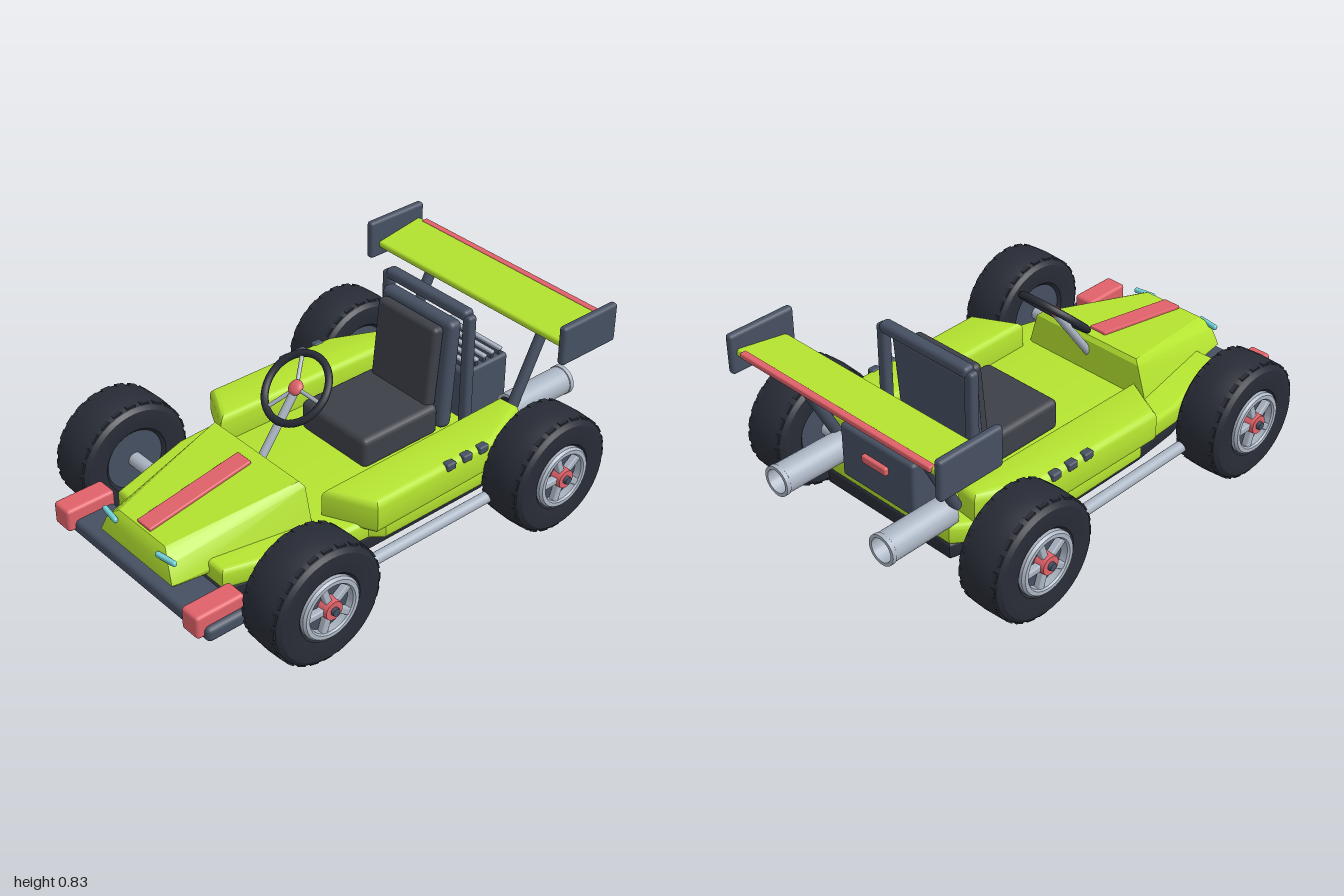
import * as THREE from 'three';
import { toCreasedNormals } from 'three/addons/utils/BufferGeometryUtils.js';
import { RoundedBoxGeometry } from 'three/addons/geometries/RoundedBoxGeometry.js';
import { ConvexGeometry } from 'three/addons/geometries/ConvexGeometry.js';

const mat = (color) => new THREE.MeshStandardMaterial({ color });
const GREEN = mat(0xb4e330), SLATE = mat(0x465062), DARK = mat(0x282c36), STEEL = mat(0xabb5c3);
const RED = mat(0xe0626a), CYAN = mat(0x72d2d8), SEAT = mat(0x3d4048);
const V = (x, y, z) => new THREE.Vector3(x, y, z);

export function createModel() {
  const kart = new THREE.Group();
  kart.name = 'kart';

  const add = (name, geo, material, pos = [0, 0, 0], parent = kart) => {
    const m = new THREE.Mesh(geo, material);
    m.name = name;
    m.position.set(...pos);
    parent.add(m);
    return m;
  };
  // rounded box given by its min and max corners
  const box = (name, material, a, b, r = 0.01, parent = kart) => {
    const s = a.map((v, i) => Math.abs(b[i] - v));
    const geo = new RoundedBoxGeometry(...s, 2, Math.min(r, Math.min(...s) * 0.45));
    return add(name, geo, material, a.map((v, i) => (v + b[i]) / 2), parent);
  };
  // straight rod between two points
  const rod = (name, material, a, b, r, parent = kart) => {
    const p = V(...a), q = V(...b), d = q.clone().sub(p);
    const m = add(name, new THREE.CylinderGeometry(r, r, d.length(), 20), material, [0, 0, 0], parent);
    m.position.copy(p).add(q).multiplyScalar(0.5);
    m.quaternion.setFromUnitVectors(V(0, 1, 0), d.normalize());
    return m;
  };
  // plan outline of [x, z] points raised from y0 to y1 with a bevelled edge
  const slab = (name, material, pts, y0, y1, bevel) => {
    const shape = new THREE.Shape(pts.map(([x, z]) => new THREE.Vector2(x, -z)));
    const geo = new THREE.ExtrudeGeometry(shape, {
      depth: y1 - y0 - 2 * bevel, bevelThickness: bevel, bevelSize: bevel, bevelOffset: -bevel, bevelSegments: 3,
    });
    geo.rotateX(-Math.PI / 2);
    return add(name, toCreasedNormals(geo, 0.6), material, [0, y0 + bevel, 0]);
  };
  const mirrored = (half) => [...half, ...half.map(([x, z]) => [-x, z]).reverse()];

  // floor and body
  slab('floorPan', DARK, mirrored([[0.31, 0.8], [0.41, 0.42], [0.43, 0.2], [0.43, -0.4], [0.33, -0.72]]), 0.145, 0.22, 0.015);
  slab('bodyBase', GREEN, mirrored([[0.32, 0.79], [0.43, 0.42], [0.44, 0.2], [0.48, 0.15], [0.48, -0.42], [0.39, -0.64], [0.33, -0.72]]), 0.21, 0.3, 0.02);
  for (const s of [1, -1]) {
    const side = s > 0 ? 'left' : 'right';
    slab(side + 'SidePod', GREEN, [[0.5, 0.21], [0.3, 0.31], [0.285, -0.63], [0.38, -0.64], [0.49, -0.4]].map(([x, z]) => [s * x, z]), 0.27, 0.415, 0.03);
    for (const z of [-0.165, -0.25, -0.335])
      box(side + 'PodVent', SLATE, [s * 0.465, 0.385, z - 0.023], [s * 0.5, 0.418, z + 0.023], 0.008);
    rod(side + 'SideRail', STEEL, [s * 0.51, 0.178, -0.55], [s * 0.51, 0.178, 0.55], 0.024);
  }

  // nose wedge with stripe and lights
  const nose = [];
  for (const s of [1, -1])
    nose.push(V(s * 0.3, 0.24, 0.36), V(s * 0.31, 0.3, 0.365), V(s * 0.27, 0.44, 0.362), V(s * 0.25, 0.458, 0.375),
      V(s * 0.14, 0.365, 0.905), V(s * 0.16, 0.352, 0.915), V(s * 0.19, 0.32, 0.93), V(s * 0.22, 0.25, 0.94), V(s * 0.21, 0.235, 0.93));
  add('nose', toCreasedNormals(new ConvexGeometry(nose), 0.3), GREEN);
  const stripe = box('noseStripe', RED, [-0.04, 0.402, 0.425], [0.04, 0.42, 0.9], 0.005);
  stripe.rotation.x = 0.174;
  for (const s of [1, -1]) {
    const lamp = box('headlight', CYAN, [s * 0.122, 0.327, 0.915], [s * 0.222, 0.349, 0.935], 0.008);
    lamp.rotation.y = s * 0.15;
  }

  // front bumper
  box('frontBumper', SLATE, [-0.47, 0.16, 0.79], [0.47, 0.222, 0.97], 0.02);
  for (const s of [1, -1]) box('bumperBlock', RED, [s * 0.35, 0.178, 0.785], [s * 0.445, 0.276, 1], 0.014);

  // seat and roll hoop
  box('seatCushion', SEAT, [-0.19, 0.29, -0.39], [0.19, 0.425, 0], 0.025);
  const pad = box('seatBackPad', SEAT, [-0.165, 0.4, -0.415], [0.165, 0.757, -0.36], 0.02);
  pad.rotation.x = -0.1;
  const shell = box('seatBackShell', SLATE, [-0.2, 0.3, -0.475], [0.2, 0.778, -0.41], 0.025);
  shell.rotation.x = -0.08;
  for (const s of [1, -1]) box('hoopPost', SLATE, [s * 0.205, 0.3, -0.518], [s * 0.25, 0.81, -0.475], 0.014);
  box('hoopBar', SLATE, [-0.228, 0.78, -0.525], [0.228, 0.828, -0.472], 0.018);

  // engine with cooling fins
  box('engine', SLATE, [-0.195, 0.28, -0.76], [0.195, 0.515, -0.52], 0.015);
  for (let i = 0; i < 5; i++) {
    const z = -0.555 - i * 0.043;
    box('coolingFin', SLATE, [-0.18, 0.5, z - 0.008], [0.18, 0.54, z + 0.008], 0.003);
    box('finCap', STEEL, [-0.185, 0.535, z - 0.01], [0.185, 0.548, z + 0.01], 0.004);
  }
  box('tailLight', RED, [-0.065, 0.41, -0.777], [0.065, 0.445, -0.755], 0.008);

  // exhausts: open pipes with a rolled lip
  const pipe = [[0.045, 0], [0.06, 0], [0.06, 0.3], [0.063, 0.302], [0.063, 0.32], [0.049, 0.32], [0.049, 0.2]];
  const pipeGeo = toCreasedNormals(new THREE.LatheGeometry(pipe.map(([r, y]) => new THREE.Vector2(r, y)), 28).rotateX(-Math.PI / 2), 0.6);
  for (const s of [1, -1]) {
    add('exhaustPipe', pipeGeo, STEEL, [s * 0.283, 0.33, -0.68]);
    rod('exhaustCore', DARK, [s * 0.283, 0.33, -0.69], [s * 0.283, 0.33, -0.9], 0.048);
  }

  // rear wing
  const wing = box('wingBlade', GREEN, [-0.53, 0.72, -0.945], [0.53, 0.752, -0.71], 0.012);
  wing.rotation.x = 0.16;
  box('wingStrip', RED, [-0.495, 0.748, -0.953], [0.495, 0.772, -0.924], 0.006);
  for (const s of [1, -1]) {
    box('wingEndPlate', SLATE, [s * 0.525, 0.662, -0.965], [s * 0.56, 0.83, -0.67], 0.014);
    rod('wingStrut', SLATE, [s * 0.317, 0.36, -0.67], [s * 0.317, 0.725, -0.855], 0.023);
  }

  // steering wheel
  rod('steeringColumn', STEEL, [0, 0.36, 0.39], [0, 0.65, 0.178], 0.017);
  const steering = new THREE.Group();
  steering.name = 'steeringWheel';
  steering.position.set(0, 0.653, 0.175);
  steering.rotation.x = -0.82;
  kart.add(steering);
  add('steeringRim', new THREE.TorusGeometry(0.142, 0.015, 12, 40), DARK, [0, 0, 0], steering);
  for (let i = 0; i < 3; i++) {
    const a = i * Math.PI * 2 / 3;
    rod('steeringSpoke', STEEL, [0, 0, 0], [0.14 * Math.cos(a), 0.14 * Math.sin(a), 0], 0.008, steering);
  }
  add('steeringHub', new THREE.SphereGeometry(0.032, 20, 12).scale(1, 1, 0.6), RED, [0, 0, 0.005], steering);

  // wheels: lathed about y, which is turned to point outward
  const lathe = (pts) => toCreasedNormals(new THREE.LatheGeometry(pts.map(([r, y]) => new THREE.Vector2(r, y)), 40), 0.5);
  const tyreGeo = lathe([[0.125, -0.085], [0.14, -0.1], [0.19, -0.108], [0.222, -0.105], [0.238, -0.093], [0.248, -0.066], [0.251, 0],
    [0.248, 0.066], [0.238, 0.093], [0.222, 0.105], [0.19, 0.108], [0.14, 0.1], [0.125, 0.085]]);
  const rimGeo = lathe([[0.1, 0.06], [0.1, 0.108], [0.106, 0.115], [0.122, 0.115], [0.13, 0.105], [0.13, 0.06]].reverse());
  const makeWheel = (s, z, label) => {
    const w = new THREE.Group();
    w.name = label;
    w.position.set(s * 0.578, 0.254, z);
    w.rotation.z = -s * Math.PI / 2;
    kart.add(w);
    add('tyre', tyreGeo, DARK, [0, 0, 0], w);
    add('rim', rimGeo, STEEL, [0, 0, 0], w);
    add('rimDish', new THREE.CylinderGeometry(0.127, 0.127, 0.165, 40), SLATE, [0, -0.005, 0], w);
    add('hub', new THREE.CylinderGeometry(0.038, 0.042, 0.045, 24), RED, [0, 0.1, 0], w);
    add('hubNut', new THREE.CylinderGeometry(0.016, 0.018, 0.02, 12), SLATE, [0, 0.126, 0], w);
    for (let i = 0; i < 5; i++) {
      const a = i * Math.PI * 2 / 5 + Math.PI / 2 * s;
      const spoke = box('spoke', STEEL, [-0.05, 0.078, -0.014], [0.05, 0.108, 0.014], 0.006, w);
      spoke.position.set(0.065 * Math.cos(a), 0.094, 0.065 * Math.sin(a));
      spoke.rotation.y = -a;
    }
    // shoulder tread blocks
    const blockGeo = new THREE.BoxGeometry(0.012, 0.02, 0.04);
    for (let i = 0; i < 48; i++) {
      const a = Math.floor(i / 2) * Math.PI / 12;
      const b = add('treadBlock', blockGeo, DARK, [0.24 * Math.cos(a), i % 2 ? 0.078 : -0.078, 0.24 * Math.sin(a)], w);
      b.rotation.y = -a;
    }
  };
  for (const [end, z] of [['front', 0.592], ['rear', -0.584]]) {
    rod(end + 'Axle', STEEL, [-0.5, 0.254, z], [0.5, 0.254, z], 0.03);
    makeWheel(1, z, end + 'LeftWheel');
    makeWheel(-1, z, end + 'RightWheel');
  }
  return kart;
}
